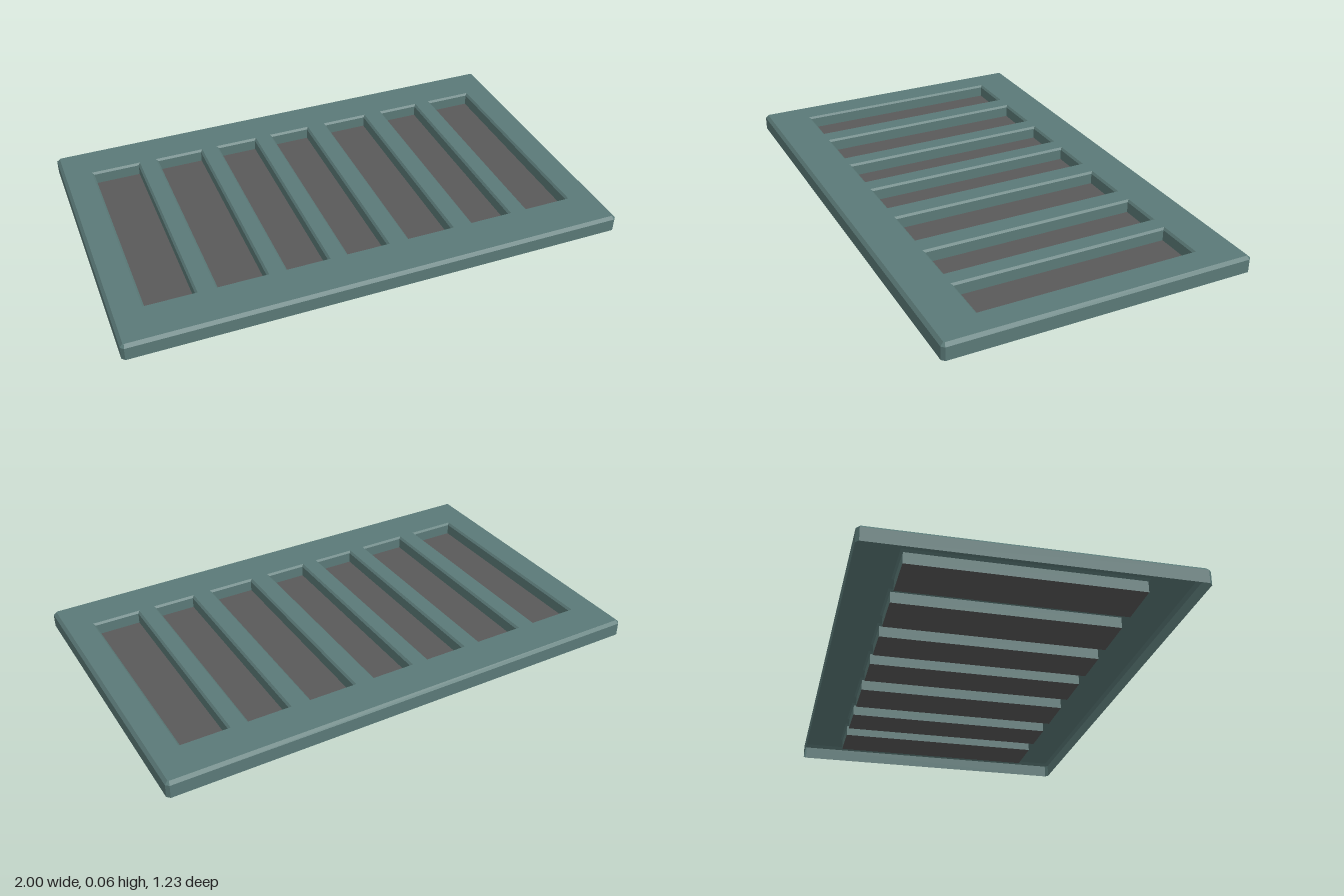
import * as THREE from 'three';

const HALF_X = 1, HALF_Z = 0.615, TOP = 0.065, FLOOR = 0.013;
const SLOT_Z = [-0.45, 0.44];
const SLOTS = [[-0.88, -0.675], [-0.605, -0.4], [-0.335, -0.155], [-0.09, 0.09],
  [0.165, 0.365], [0.44, 0.62], [0.685, 0.885]];

// Rectangle outline in plan, as [x, z] corners, optionally with cut corners
function outline(x0, x1, z0, z1, cut = 0) {
  if (!cut) return [[x0, z0], [x0, z1], [x1, z1], [x1, z0]];
  return [[x0, z0 + cut], [x0, z1 - cut], [x0 + cut, z1], [x1 - cut, z1],
    [x1, z1 - cut], [x1, z0 + cut], [x1 - cut, z0], [x0 + cut, z0]];
}

// Wall skin joining a stack of matching outlines, listed from low to high
function loft(rings) {
  const pos = [];
  for (let r = 0; r < rings.length - 1; r++) {
    const lo = rings[r], hi = rings[r + 1], n = lo.pts.length;
    for (let i = 0; i < n; i++) {
      const j = (i + 1) % n;
      const at = (ring, k) => [ring.pts[k][0], ring.y, ring.pts[k][1]];
      const a = at(lo, i), b = at(lo, j), c = at(hi, j), d = at(hi, i);
      pos.push(...a, ...b, ...c, ...a, ...c, ...d);
    }
  }
  const g = new THREE.BufferGeometry();
  g.setAttribute('position', new THREE.Float32BufferAttribute(pos, 3));
  g.computeVertexNormals();
  return g;
}

export function createModel() {
  const group = new THREE.Group();
  const shell = new THREE.MeshStandardMaterial({ color: 0x5b7a78, flatShading: true, side: THREE.DoubleSide });
  const dark = new THREE.MeshStandardMaterial({ color: 0x5a5a5a, flatShading: true, side: THREE.DoubleSide });
  const add = (name, geometry, material) => {
    const mesh = new THREE.Mesh(geometry, material);
    mesh.name = name;
    group.add(mesh);
    return mesh;
  };

  // Outer skirt, open below, with a chamfered upper edge
  const b = 0.012;
  const full = outline(-HALF_X, HALF_X, -HALF_Z, HALF_Z, b);
  const inset = outline(-HALF_X + b, HALF_X - b, -HALF_Z + b, HALF_Z - b, 0.004);
  add('outerRim', loft([{ y: 0, pts: full }, { y: TOP - b, pts: full }, { y: TOP, pts: inset }]), shell);

  // Top plate pierced by the slots (shape y is -z)
  const toVec = ([x, z]) => new THREE.Vector2(x, -z);
  const plate = new THREE.Shape(inset.map(toVec));
  for (const [x0, x1] of SLOTS) {
    plate.holes.push(new THREE.Path(outline(x0, x1, ...SLOT_Z).map(toVec)));
  }
  add('topPlate', new THREE.ShapeGeometry(plate).rotateX(-Math.PI / 2).translate(0, TOP, 0), shell);

  // Pockets hanging under the slots: chamfered lip, straight walls, dark floor
  const s = 0.008, [z0, z1] = SLOT_Z;
  SLOTS.forEach(([x0, x1], i) => {
    const lip = outline(x0, x1, z0, z1);
    const inner = outline(x0 + s, x1 - s, z0 + s, z1 - s);
    add(`pocketWalls${i + 1}`, loft([{ y: FLOOR, pts: inner }, { y: TOP - s, pts: inner }, { y: TOP, pts: lip }]), shell);
    const floor = new THREE.PlaneGeometry(x1 - x0 - 2 * s, z1 - z0 - 2 * s).rotateX(-Math.PI / 2);
    add(`pocketFloor${i + 1}`, floor, dark).position.set((x0 + x1) / 2, FLOOR, (z0 + z1) / 2);
  });
  return group;
}
